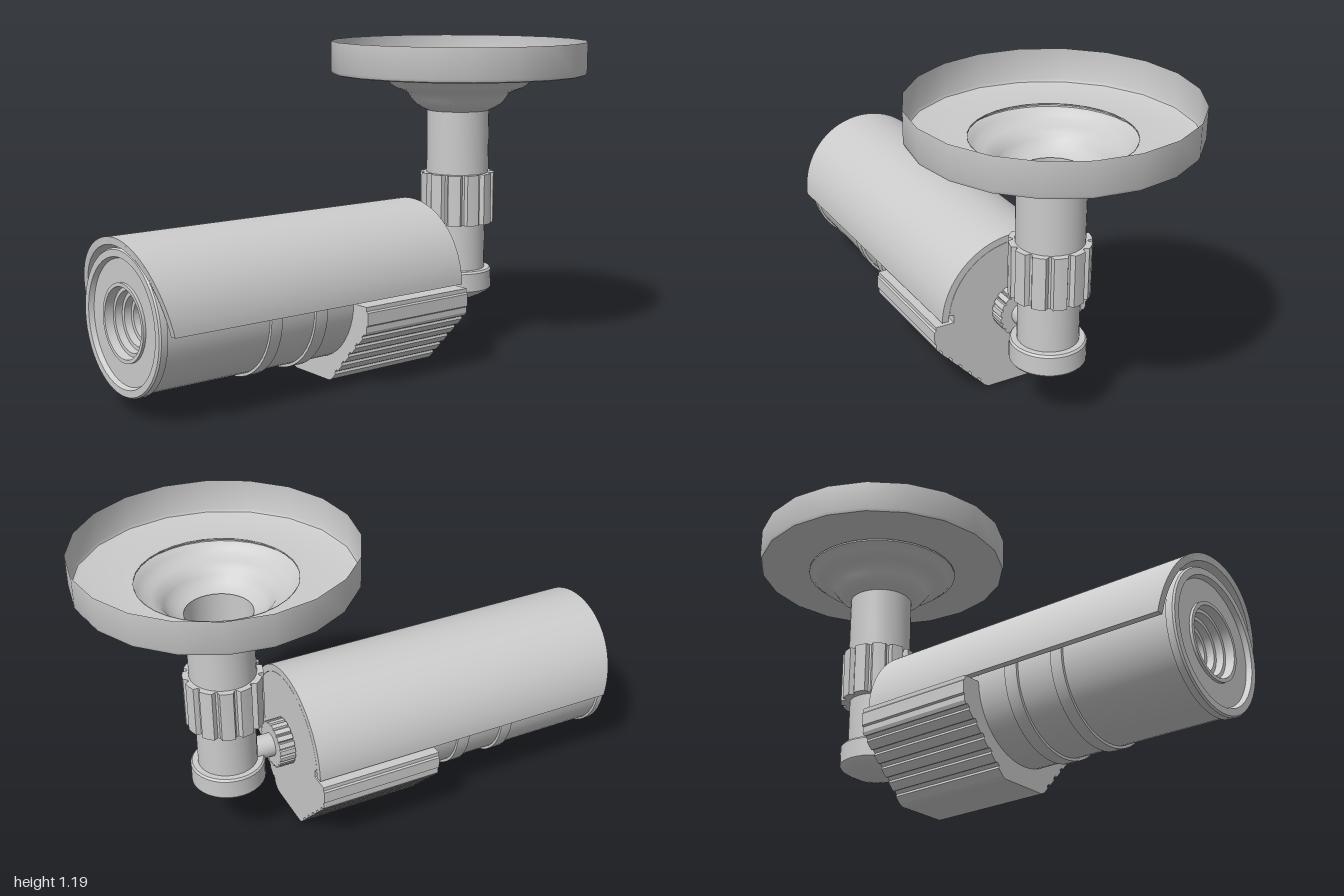
import * as THREE from 'three';
import { toCreasedNormals } from 'three/addons/utils/BufferGeometryUtils.js';

const grey = new THREE.MeshStandardMaterial({ color: 0xcccccc, side: THREE.DoubleSide });
const AXIS_Y = 0.32; // height of the camera barrel axis
const POLE_X = 0.507; // x of the mounting pole

function add(group, name, geometry, crease = 0.6) {
  const mesh = new THREE.Mesh(toCreasedNormals(geometry, crease), grey);
  mesh.name = name;
  group.add(mesh);
  return mesh;
}

const points = (list) => list.map(([x, y]) => new THREE.Vector2(x, y));

// Vertical turned part on the pole axis, profile as [radius, y] from bottom to top
const turnedY = (profile, sides = 32) =>
  new THREE.LatheGeometry(points(profile), sides, Math.PI / 2).translate(POLE_X, 0, 0);

// Turned part on the barrel axis, profile as [radius, x] from rear to front
const turnedX = (profile, sides = 48) =>
  new THREE.LatheGeometry(points(profile.map(([r, x]) => [r, -x])), sides)
    .rotateZ(Math.PI / 2).translate(0, AXIS_Y, 0);

// Shape in the (z, y) plane extruded along x
const extrudeX = (shape, x0, x1) =>
  new THREE.ExtrudeGeometry(shape, { depth: x1 - x0, bevelEnabled: false, steps: 1 })
    .rotateY(Math.PI / 2).translate(x0, 0, 0);

// Ribbed ring outline
function ribbedShape(outer, inner, teeth, hole) {
  const list = [];
  for (let i = 0; i < teeth; i++) {
    [[0, inner], [0.14, outer], [0.5, outer], [0.86, outer], [1, inner]].forEach(([t, r]) => {
      const a = ((i + t * 0.88) / teeth) * Math.PI * 2;
      list.push([r * Math.cos(a), r * Math.sin(a)]);
    });
  }
  const shape = new THREE.Shape(points(list));
  if (hole) shape.holes.push(new THREE.Path().absarc(0, 0, hole, 0, Math.PI * 2, true));
  return shape;
}

// Curved sun shield over the barrel, its front edge raked back towards the sides
function sunShield() {
  const shape = new THREE.Shape();
  shape.absarc(0, AXIS_Y, 0.29, 0.02, Math.PI - 0.02, false);
  shape.absarc(0, AXIS_Y, 0.264, Math.PI - 0.02, 0.02, true);
  shape.closePath();
  const geometry = new THREE.ExtrudeGeometry(shape, { depth: 1.27, bevelEnabled: false, curveSegments: 28 })
    .rotateY(Math.PI / 2).translate(-1, 0, 0);
  const p = geometry.attributes.position;
  for (let i = 0; i < p.count; i++) {
    if (p.getX(i) < -0.9) {
      const t = 1 - (p.getY(i) - 0.33) / 0.28;
      p.setX(i, -1 + 0.05 * Math.pow(Math.max(t, 0), 1.3));
    }
  }
  return geometry;
}

// Rear housing outline: flat base, grooved slopes, side rails, rounded top
function housingShape() {
  const side = [[0.1, 0.005], [0.115, 0.012]];
  const a = [0.115, 0.012], b = [0.31, 0.215], grooves = 5;
  for (let i = 0; i < grooves; i++) {
    [[0.55, 0], [0.62, 0.008], [0.88, 0.008], [0.95, 0]].forEach(([t, d]) => {
      const k = (i + t) / grooves;
      side.push([a[0] + (b[0] - a[0]) * k - d * 0.7, a[1] + (b[1] - a[1]) * k + d * 0.7]);
    });
  }
  side.push([0.315, 0.225], [0.315, 0.245], [0.321, 0.25], [0.321, 0.295],
    [0.315, 0.3], [0.315, 0.315], [0.243, 0.315], [0.243, 0.345]);
  for (let i = 0; i <= 14; i++) {
    const ang = 0.1 + ((Math.PI / 2 - 0.1) * i) / 14;
    side.push([0.263 * Math.cos(ang), AXIS_Y + 0.263 * Math.sin(ang)]);
  }
  const mirrored = side.slice(0, -1).reverse().map(([z, y]) => [-z, y]);
  return new THREE.Shape(points([...side, ...mirrored]));
}

export function createModel() {
  const model = new THREE.Group();

  // Camera
  const camera = new THREE.Group();
  camera.name = 'camera';
  model.add(camera);
  add(camera, 'barrel', turnedX([[0, -0.19], [0.243, -0.19], [0.243, -0.95]]));
  add(camera, 'frontBezel', turnedX([
    [0.243, -0.95], [0.251, -0.952], [0.251, -0.976], [0.246, -0.982], [0.222, -0.982], [0.215, -0.965], [0.135, -0.965],
  ]));
  // Stepped lens recess
  add(camera, 'lensRecess', turnedX([
    [0.135, -0.965], [0.135, -0.975], [0.122, -0.975], [0.118, -0.945], [0.105, -0.945], [0.102, -0.92],
    [0.088, -0.92], [0.085, -0.895], [0.07, -0.895], [0.068, -0.87], [0.055, -0.87],
  ]));
  add(camera, 'lens', turnedX([[0.056, -0.868], [0.04, -0.882], [0.02, -0.889], [0, -0.891]]), 1);
  for (const [x0, x1] of [[-0.555, -0.51], [-0.37, -0.32]]) {
    add(camera, 'barrelBand', turnedX([[0.243, x1], [0.253, x1], [0.253, x0], [0.243, x0]]));
  }
  add(camera, 'sunShield', sunShield());
  add(camera, 'rearHousing', extrudeX(housingShape(), -0.2, 0.27), 0.3);

  // Swivel joint between camera and pole
  const knob = extrudeX(ribbedShape(0.09, 0.083, 20), 0.275, 0.335).translate(0, AXIS_Y, 0);
  add(camera, 'swivelKnob', knob, 0.4);
  add(camera, 'swivelShaft', turnedX([[0, 0.51], [0.045, 0.51], [0.045, 0.27]], 20));

  // Ceiling mount
  const mount = new THREE.Group();
  mount.name = 'ceilingMount';
  model.add(mount);
  add(mount, 'poleEndCap', turnedY([
    [0, 0.184], [0.035, 0.188], [0.075, 0.2], [0.11, 0.217], [0.13, 0.23], [0.136, 0.238],
    [0.136, 0.308], [0.13, 0.316], [0.108, 0.316],
  ]));
  add(mount, 'lowerPole', turnedY([[0.109, 0.31], [0.109, 0.5]]));
  add(mount, 'upperPole', turnedY([[0.12, 0.68], [0.12, 0.94]]));
  const collar = new THREE.ExtrudeGeometry(ribbedShape(0.143, 0.127, 12, 0.108), { depth: 0.195, bevelEnabled: false })
    .rotateX(-Math.PI / 2).translate(POLE_X, 0.497, 0);
  add(mount, 'ribbedCollar', collar, 0.45);
  add(mount, 'flaredNeck', turnedY([
    [0.12, 0.933], [0.14, 0.942], [0.165, 0.957], [0.183, 0.978], [0.198, 1.0], [0.225, 1.012],
    [0.25, 1.022], [0.27, 1.037], [0.284, 1.052], [0.293, 1.056], [0.293, 1.062], [0.28, 1.066], [0.28, 1.072],
  ]));
  add(mount, 'ceilingDish', turnedY([
    [0.28, 1.07], [0.475, 1.07], [0.486, 1.074], [0.491, 1.085], [0.491, 1.197],
  ], 20), 0.7);

  return model;
}
